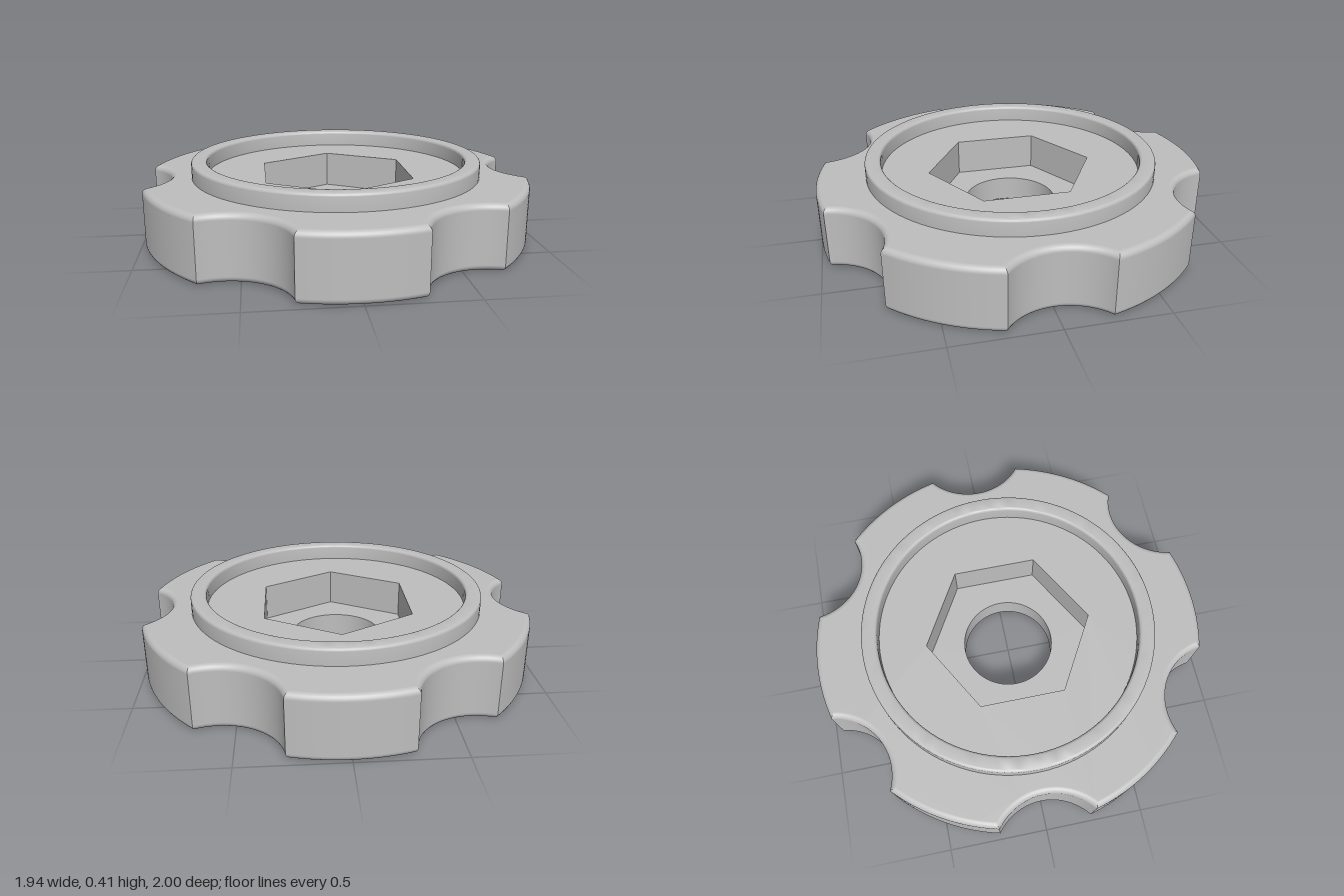
import * as THREE from 'three';
import { toCreasedNormals } from 'three/addons/utils/BufferGeometryUtils.js';

const DISC_TOP = 0.32, RING_TOP = 0.405, POCKET_FLOOR = 0.13;
const SCALLOP_CENTRE = 1.155, SCALLOP_R = 0.3, FILLET = 0.03;
const HEX_R = 0.43, BORE_R = 0.237;
const STEPS = 20;

// One arc of the outline (lobe or scallop), inset by d: points with outward normals
function arc(k, isLobe, d) {
  const R = 1 - d, r = SCALLOP_R + d, c = SCALLOP_CENTRE, base = k * Math.PI / 3;
  const t = Math.acos((R * R + c * c - r * r) / (2 * R * c));
  const s = Math.acos((c * c + r * r - R * R) / (2 * c * r));
  const out = [];
  for (let i = 0; i <= STEPS; i++) {
    const f = i / STEPS;
    const p = new THREE.Vector2(), n = new THREE.Vector2();
    if (isLobe) {
      const a = t + f * (Math.PI / 3 - 2 * t);
      n.set(Math.cos(a), Math.sin(a));
      p.copy(n).multiplyScalar(R);
    } else {
      const u = s * (2 * f - 1);
      n.set(Math.cos(u), -Math.sin(u));
      p.set(c - r * Math.cos(u), r * Math.sin(u));
    }
    const o = new THREE.Vector2();
    out.push({ p: p.rotateAround(o, base), n: n.rotateAround(o, base) });
  }
  return out;
}

// Edge wall of one arc, with rounded top and bottom
function wall(k, isLobe) {
  const rows = [], pos = [], nor = [], idx = [], N = 6;
  for (let i = 0; i <= N; i++) rows.push([(i / N - 1) * Math.PI / 2, FILLET]);
  for (let i = 0; i <= N; i++) rows.push([(i / N) * Math.PI / 2, DISC_TOP - FILLET]);
  rows.forEach(([a, y]) => {
    for (const { p, n } of arc(k, isLobe, FILLET * (1 - Math.cos(a)))) {
      pos.push(p.x, y + FILLET * Math.sin(a), -p.y);
      nor.push(n.x * Math.cos(a), Math.sin(a), -n.y * Math.cos(a));
    }
  });
  const w = STEPS + 1;
  for (let j = 0; j < rows.length - 1; j++) {
    for (let i = 0; i < STEPS; i++) {
      const a = j * w + i;
      idx.push(a, a + 1, a + w + 1, a, a + w + 1, a + w);
    }
  }
  const g = new THREE.BufferGeometry();
  g.setAttribute('position', new THREE.Float32BufferAttribute(pos, 3));
  g.setAttribute('normal', new THREE.Float32BufferAttribute(nor, 3));
  g.setIndex(idx);
  return g;
}

function loop(radius, sides) {
  return Array.from({ length: sides }, (_, i) => {
    const a = Math.PI / 2 + i * 2 * Math.PI / sides;
    return new THREE.Vector2(radius * Math.cos(a), radius * Math.sin(a));
  });
}

// Flat horizontal face with a hole, facing up or down
function face(outer, hole, y, up = true) {
  const shape = new THREE.Shape(outer);
  shape.holes.push(new THREE.Path(hole));
  return new THREE.ShapeGeometry(shape).rotateX(up ? -Math.PI / 2 : Math.PI / 2).translate(0, y, 0);
}

function lathe(points, sides) {
  return toCreasedNormals(new THREE.LatheGeometry(points.map(p => new THREE.Vector2(...p)), sides), 0.6);
}

export function createModel() {
  const grey = new THREE.MeshStandardMaterial({ color: 0xbebebe });
  grey.name = 'grey';
  const model = new THREE.Group();
  model.name = 'knob';
  const add = (name, geometry, parent = model) => {
    const mesh = new THREE.Mesh(geometry, grey);
    mesh.name = name;
    parent.add(mesh);
  };

  // Scalloped grip edge
  const grip = new THREE.Group();
  grip.name = 'gripEdge';
  model.add(grip);
  const outline = [];
  for (let k = 0; k < 6; k++) {
    for (const isLobe of [false, true]) {
      add(isLobe ? 'lobe' : 'scallop', wall(k, isLobe), grip);
      outline.push(...arc(k, isLobe, FILLET).slice(0, -1).map(q => q.p));
    }
  }

  // Flat faces of the disc and the hexagonal pocket floor
  add('discTop', face(outline, loop(HEX_R, 6), DISC_TOP));
  add('discBottom', face(outline, loop(BORE_R, 64), 0, false));
  add('pocketFloor', face(loop(HEX_R, 6), loop(BORE_R, 64), POCKET_FLOOR));

  // Pocket and bore walls, facing inward
  add('pocketWall', lathe([[HEX_R, DISC_TOP], [HEX_R, POCKET_FLOOR]], 6));
  add('boreWall', lathe([[BORE_R, POCKET_FLOOR], [BORE_R, 0]], 64));

  // Raised rim with softened edges
  const rim = [[0.75, DISC_TOP]], f = 0.015;
  for (const [x, start] of [[0.75 - f, 0], [0.67 + f, Math.PI / 2]]) {
    for (let i = 0; i <= 5; i++) {
      const a = start + i * Math.PI / 10;
      rim.push([x + f * Math.cos(a), RING_TOP - f + f * Math.sin(a)]);
    }
  }
  rim.push([0.67, DISC_TOP]);
  add('raisedRim', lathe(rim, 96));

  return model;
}
